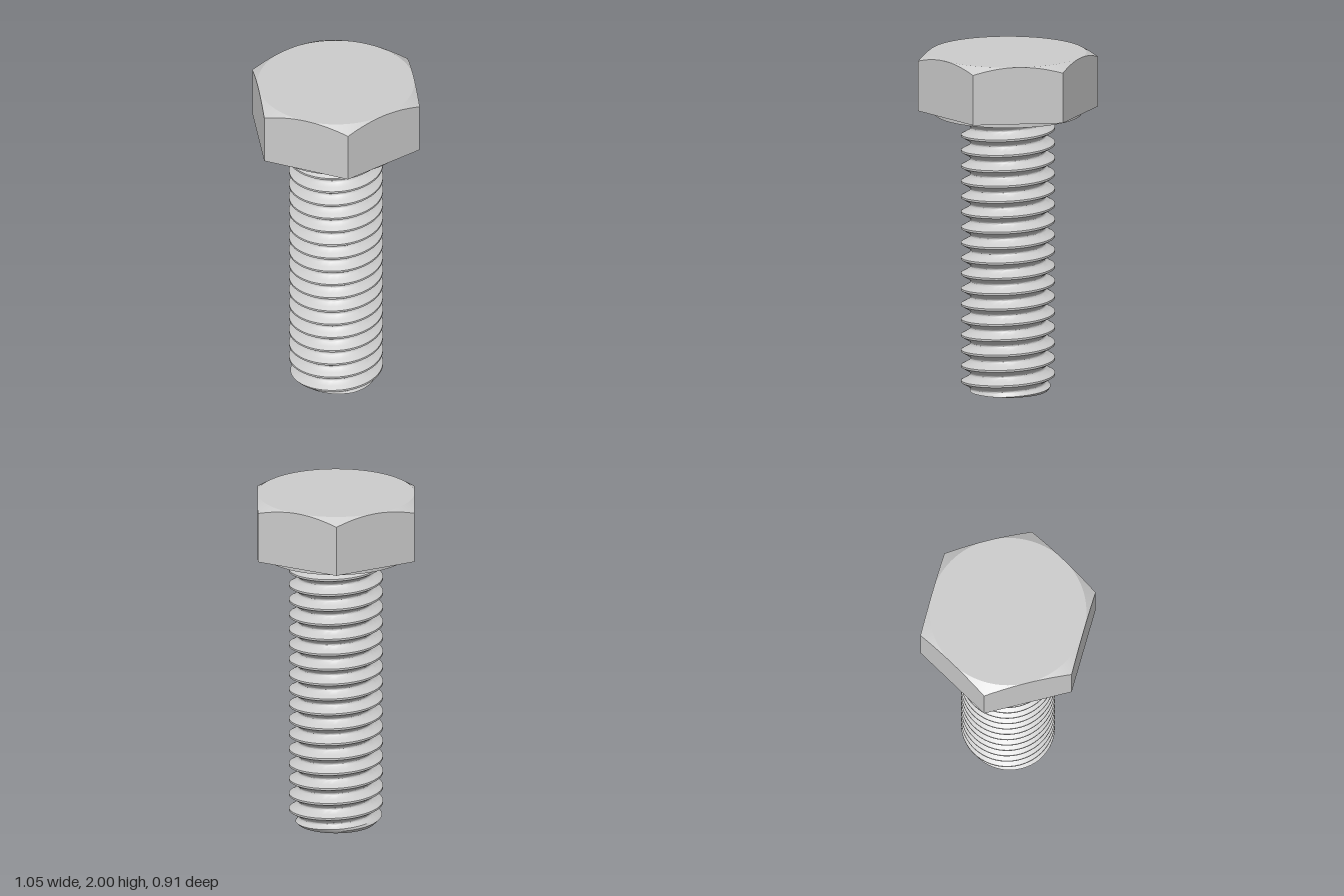
import * as THREE from 'three';
import { toCreasedNormals } from 'three/addons/utils/BufferGeometryUtils.js';

const TAU = Math.PI * 2;
const UNIT = 2 / 22; // one thread pitch; every size is a multiple of it
const SHANK_TOP = 18 * UNIT, HEAD_BASE = 1.664, FLAT = 5 * UNIT;
const MAJOR = 3 * UNIT, MINOR = 0.217;

// Skin a grid of points; at(row, angle) returns [radius, height], rows run upward.
function loft(rows, segs, at, crease) {
  const pos = [], index = [];
  for (let i = 0; i < rows; i++) {
    for (let j = 0; j <= segs; j++) {
      const a = (j / segs) * TAU, [r, y] = at(i, a);
      pos.push(r * Math.cos(a), y, -r * Math.sin(a));
      if (i < rows - 1 && j < segs) {
        const p = i * (segs + 1) + j, q = p + segs + 1;
        index.push(p, p + 1, q + 1, p, q + 1, q);
      }
    }
  }
  const geo = new THREE.BufferGeometry();
  geo.setAttribute('position', new THREE.Float32BufferAttribute(pos, 3));
  geo.setIndex(index);
  return toCreasedNormals(geo, crease);
}

// Thread radius at d pitches away from the crest centre (0 to 0.5)
function threadRadius(d) {
  if (d <= 0.0625) return MAJOR;
  if (d <= 0.375) return MAJOR - (d - 0.0625) * UNIT * Math.sqrt(3);
  return 0.2235 - (0.2235 - MINOR) * Math.sin(((d - 0.375) / 0.125) * Math.PI / 2);
}

// Threaded shank: rows follow the helix, with a chamfered tip and a fillet under the head
function shankGeometry() {
  const offsets = [-0.0625, 0, 0.0625, 0.22, 0.375, 0.42, 0.46, 0.5, 0.54, 0.58, 0.625, 0.78];
  const turns = 20, start = -0.0055, fillet = 0.06;
  return loft(turns * offsets.length + 1, 72, (i, a) => {
    if (i === 0) return [0, 0];
    const k = i - 1;
    const u = Math.floor(k / offsets.length) - 1 + offsets[k % offsets.length];
    const y = THREE.MathUtils.clamp(start + UNIT * (u + a / TAU), 0, SHANK_TOP);
    const t = (y - start) / UNIT - a / TAU;
    let r = Math.min(threadRadius(Math.abs(t - Math.round(t))), 0.228 + y);
    const h = y - (SHANK_TOP - fillet);
    if (h > 0) r = Math.max(r, MINOR + fillet - Math.sqrt(Math.max(0, fillet * fillet - h * h)));
    return [r, y];
  }, 0.6);
}

// Hexagonal head whose top corners are cut by a 30 degree cone
function headGeometry() {
  return loft(5, 144, (i, a) => {
    const hex = FLAT / Math.cos((a % (Math.PI / 3)) - Math.PI / 6);
    const edge = 2 - (hex - FLAT) * Math.tan(Math.PI / 6);
    return [[0, HEAD_BASE], [hex, HEAD_BASE], [hex, edge], [FLAT, 2], [0, 2]][i];
  }, 0.3);
}

export function createModel() {
  const group = new THREE.Group();
  group.name = 'hexBolt';
  const material = new THREE.MeshStandardMaterial({ color: 0xcccccc });
  const add = (name, geo, y = 0) => {
    const mesh = new THREE.Mesh(geo, material);
    mesh.name = name;
    mesh.position.y = y;
    group.add(mesh);
  };
  add('threadedShank', shankGeometry());
  add('hexHead', headGeometry());
  // Round bearing face below the head
  const thick = HEAD_BASE - SHANK_TOP;
  add('washerFace', new THREE.CylinderGeometry(0.425, 0.425, thick, 96), SHANK_TOP + thick / 2);
  return group;
}
